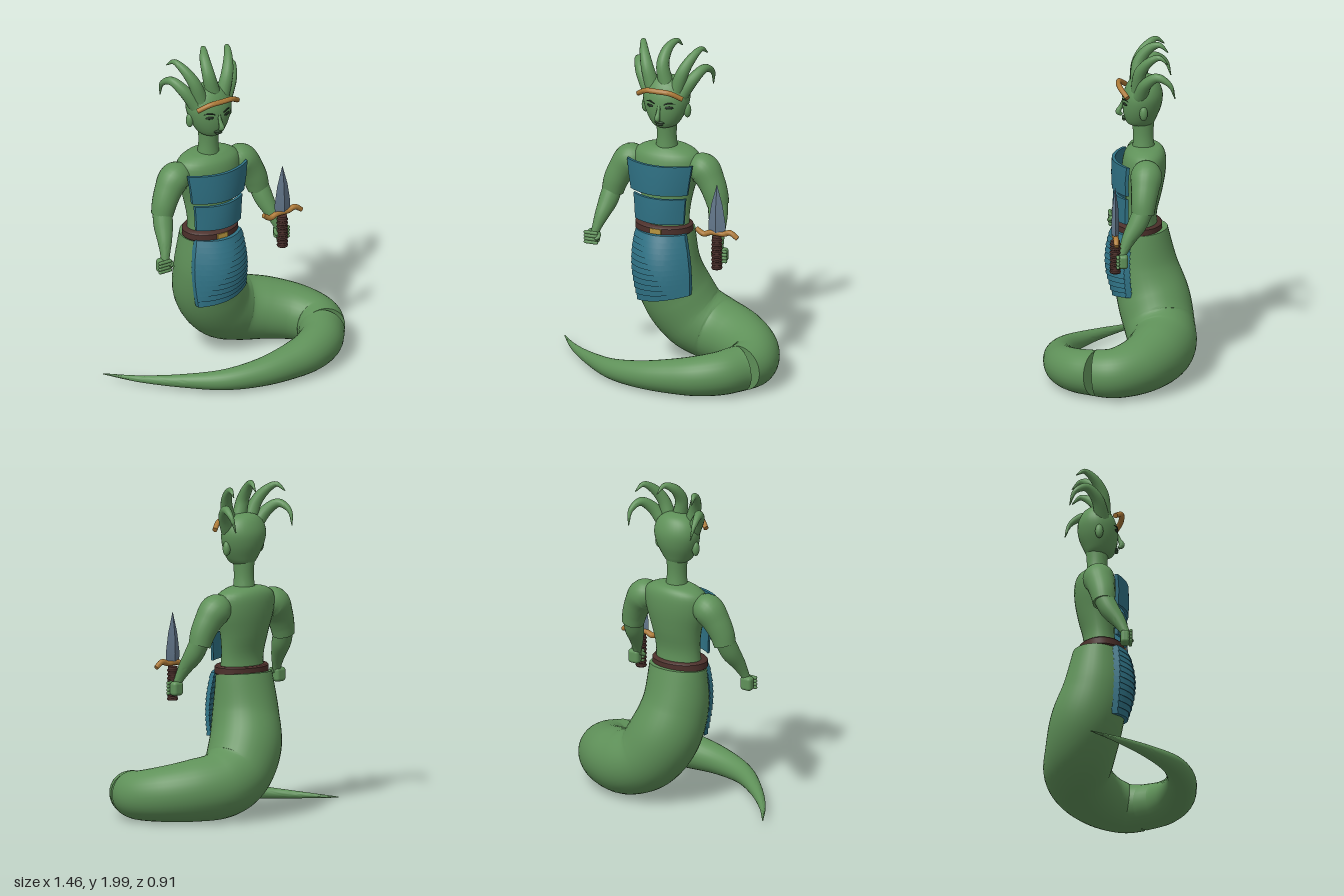
import * as THREE from 'three';
import { toCreasedNormals } from 'three/addons/utils/BufferGeometryUtils.js';
import { RoundedBoxGeometry } from 'three/addons/geometries/RoundedBoxGeometry.js';

const mat = (name, color) => {
  const m = new THREE.MeshStandardMaterial({ color });
  m.name = name;
  return m;
};
const CX = -0.05; // the upper body's own centre line
const V = (x, y, z) => new THREE.Vector3(x, y, z);

// Closed skin through equal-sized rings of points, capped at both ends
function loft(rings, crease = 0.7) {
  const n = rings[0].length, pos = [], idx = [];
  rings.forEach(r => r.forEach(p => pos.push(p.x, p.y, p.z)));
  for (let r = 0; r < rings.length - 1; r++) for (let j = 0; j < n; j++) {
    const a = r * n + j, b = r * n + (j + 1) % n;
    idx.push(a, b, b + n, a, b + n, a + n);
  }
  const e = (rings.length - 1) * n;
  for (let i = 0; i < n / 2 - 1; i++) {
    const q = [i, i + 1, n - 2 - i, i, n - 2 - i, n - 1 - i];
    idx.push(...q.map(k => k + e), q[2], q[1], q[0], q[5], q[4], q[3]);
  }
  // turn the skin outward if its volume is negative
  let vol = 0;
  const at = k => V(pos[3 * k], pos[3 * k + 1], pos[3 * k + 2]);
  for (let i = 0; i < idx.length; i += 3) vol += at(idx[i]).dot(at(idx[i + 1]).cross(at(idx[i + 2])));
  if (vol < 0) idx.reverse();
  const g = new THREE.BufferGeometry();
  g.setAttribute('position', new THREE.Float32BufferAttribute(pos, 3));
  g.setIndex(idx);
  return toCreasedNormals(g, crease);
}

// Tapering tube: points are [x, y, z, radius, optional second radius]
function limb(points, segs = 32, n = 24) {
  const path = new THREE.CatmullRomCurve3(points.map(p => V(p[0], p[1], p[2])));
  const radii = new THREE.CatmullRomCurve3(points.map((p, i) => V(p[3], p[4] ?? p[3], i * 0.1)));
  let normal = V(1, 0, 0);
  if (Math.abs(path.getTangent(0).x) > 0.8) normal = V(0, 1, 0);
  const rings = [];
  for (let i = 0; i <= segs; i++) {
    const t = i / segs, c = path.getPoint(t), tan = path.getTangent(t), r = radii.getPoint(t);
    normal.addScaledVector(tan, -normal.dot(tan)).normalize();
    const bi = tan.clone().cross(normal);
    rings.push(Array.from({ length: n }, (_, j) => {
      const a = j / n * Math.PI * 2;
      return c.clone().addScaledVector(normal, Math.cos(a) * r.x).addScaledVector(bi, Math.sin(a) * r.y);
    }));
  }
  return loft(rings);
}

// Stack of ellipses: rows are [y, half width, back z, front z]
function stack(rows, steps = 24, n = 32) {
  const a = new THREE.CatmullRomCurve3(rows.map(r => V(r[1], r[0], 0)));
  const b = new THREE.CatmullRomCurve3(rows.map(r => V(r[2], r[0], r[3])));
  const rings = [];
  for (let i = 0; i <= steps; i++) {
    const p = a.getPoint(i / steps), q = b.getPoint(i / steps);
    rings.push(Array.from({ length: n }, (_, j) => {
      const t = j / n * Math.PI * 2;
      return V(CX + Math.cos(t) * p.x, p.y, (q.x + q.z) / 2 + Math.sin(t) * (q.z - q.x) / 2);
    }));
  }
  return loft(rings, 0.9);
}

// Bowed armour plate: rows are [y, centre x, half width, front z, side z, slope]
function plate(rows, thick = 0.02) {
  const rings = [];
  for (let i = 0; i <= 20; i++) {
    const u = i / 10 - 1;
    const front = rows.map(([y, cx, w, zf, zs, s]) => V(cx + u * w, y + s * u, zf - (zf - zs) * u * u));
    const back = front.map(p => V(p.x, p.y, p.z - thick)).reverse();
    rings.push([...front, ...back]);
  }
  return loft(rings, 0.5);
}

export function createModel() {
  const root = new THREE.Group();
  const skin = mat('green skin', 0x5f9159), teal = mat('teal armour', 0x2f7184);
  const brown = mat('brown leather', 0x4c302b), copper = mat('copper trim', 0xad7a38);
  const gold = mat('gold buckle', 0xb8953f), steel = mat('blue steel', 0x64788c);
  const dark = mat('dark eyes', 0x1c2c1e), lipMat = mat('dark green lips', 0x3c5a3c);
  const add = (name, geo, m, parent = root) => {
    const mesh = new THREE.Mesh(geo, m);
    mesh.name = name;
    parent.add(mesh);
    return mesh;
  };

  // Serpent body and tail
  add('lowerBody', limb([[-0.055, 0.845, -0.15, 0.178, 0.15], [-0.05, 0.6, -0.17, 0.2, 0.195],
    [-0.005, 0.42, -0.215, 0.215, 0.215], [0.09, 0.28, -0.245, 0.208], [0.22, 0.215, -0.255, 0.198],
    [0.38, 0.19, -0.195, 0.185], [0.52, 0.17, -0.08, 0.165], [0.58, 0.155, 0.05, 0.148],
    [0.552, 0.148, 0.155, 0.138]], 72, 36), skin);
  add('tail', limb([[0.545, 0.146, 0.155, 0.136], [0.47, 0.138, 0.255, 0.13], [0.35, 0.125, 0.32, 0.12],
    [0.2, 0.11, 0.345, 0.104], [0, 0.092, 0.342, 0.083], [-0.21, 0.075, 0.28, 0.062],
    [-0.41, 0.06, 0.135, 0.04], [-0.6, 0.045, -0.055, 0.02], [-0.735, 0.038, -0.235, 0.003]], 64, 28), skin);

  // Torso, neck, head
  add('torso', stack([[0.84, 0.15, -0.24, -0.03], [0.95, 0.147, -0.235, -0.05], [1.08, 0.165, -0.265, -0.05],
    [1.22, 0.205, -0.288, -0.03], [1.31, 0.2, -0.285, -0.045], [1.35, 0.14, -0.262, -0.08],
    [1.362, 0.07, -0.23, -0.1]]), skin);
  add('neck', stack([[1.33, 0.068, -0.225, -0.09], [1.42, 0.058, -0.215, -0.095], [1.54, 0.064, -0.222, -0.085]], 10), skin);
  add('head', stack([[1.485, 0.035, -0.19, -0.09], [1.5, 0.07, -0.215, -0.06], [1.54, 0.1, -0.235, -0.042],
    [1.61, 0.132, -0.262, -0.032], [1.68, 0.144, -0.27, -0.038], [1.74, 0.125, -0.252, -0.062],
    [1.78, 0.08, -0.22, -0.095], [1.797, 0.01, -0.16, -0.145]], 32), skin);

  // Face
  add('nose', limb([[CX, 1.645, -0.04, 0.008], [CX, 1.6, -0.022, 0.012], [CX, 1.568, -0.008, 0.017],
    [CX, 1.55, -0.028, 0.01]], 12, 12), skin);
  for (const [i, y] of [1.534, 1.522].entries()) {
    const lip = add(i ? 'lowerLip' : 'upperLip', new THREE.SphereGeometry(1, 16, 8), lipMat);
    lip.scale.set(0.032 - i * 0.008, 0.007, 0.012);
    lip.position.set(CX, y, -0.041);
  }
  for (const s of [-1, 1]) {
    const side = s < 0 ? 'right' : 'left';
    const eye = add(side + 'Eye', new THREE.SphereGeometry(1, 16, 8), dark);
    eye.scale.set(0.026, 0.009, 0.006);
    eye.position.set(CX + s * 0.06, 1.632, -0.044);
    eye.rotation.y = s * 0.4;
    add(side + 'Brow', limb([[CX + s * 0.03, 1.651, -0.033, 0.003], [CX + s * 0.06, 1.66, -0.044, 0.005],
      [CX + s * 0.092, 1.653, -0.064, 0.002]], 10, 8), dark);
    const ear = add(side + 'Ear', new THREE.SphereGeometry(1, 16, 12), skin);
    ear.scale.set(0.022, 0.044, 0.024);
    ear.position.set(CX + s * 0.134, 1.594, -0.15);
  }

  // Circlet
  add('circlet', limb([[-0.19, 1.695, -0.055, 0.015], [-0.125, 1.733, -0.018, 0.016], [CX, 1.738, -0.01, 0.016],
    [0.025, 1.733, -0.018, 0.016], [0.09, 1.695, -0.055, 0.015]], 28, 12), copper);

  // Head tendrils
  add('middleTendril', limb([[-0.04, 1.75, -0.12, 0.045], [-0.065, 1.87, -0.13, 0.038], [-0.055, 1.953, -0.19, 0.029],
    [-0.025, 1.982, -0.25, 0.016], [-0.01, 1.94, -0.3, 0.003]], 24, 14), skin);
  for (const s of [-1, 1]) {
    const x = d => CX + s * d;
    add('innerTendril', limb([[x(0.075), 1.72, -0.12, 0.044], [x(0.115), 1.84, -0.13, 0.037],
      [x(0.155), 1.92, -0.18, 0.027], [x(0.185), 1.955, -0.24, 0.016], [x(0.205), 1.92, -0.29, 0.003]], 24, 14), skin);
    add('outerTendril', limb([[x(0.1), 1.69, -0.13, 0.044], [x(0.165), 1.79, -0.165, 0.036],
      [x(0.21), 1.84, -0.23, 0.026], [x(0.232), 1.8, -0.3, 0.015], [x(0.225), 1.715, -0.33, 0.003]], 24, 14), skin);
  }

  // Arms and fists
  for (const s of [-1, 1]) {
    const arm = new THREE.Group(), x = d => CX + s * d;
    arm.name = s < 0 ? 'rightArm' : 'leftArm';
    root.add(arm);
    add('upperArm', limb([[x(0.15), 1.255, -0.16, 0.055], [x(0.185), 1.25, -0.16, 0.08], [x(0.235), 1.235, -0.16, 0.094],
      [x(0.285), 1.17, -0.15, 0.082], [x(0.318), 1.1, -0.14, 0.074], [x(0.336), 1.035, -0.135, 0.066]], 28), skin, arm);
    add('forearm', limb([[x(0.335), 1.06, -0.137, 0.058], [x(0.35), 0.98, -0.1, 0.057], [x(0.372), 0.9, -0.05, 0.042],
      [x(0.392), 0.825, -0.015, 0.027], [x(0.4), 0.79, -0.005, 0.025]], 20), skin, arm);
    const palm = add('palm', new RoundedBoxGeometry(0.075, 0.085, 0.055, 3, 0.02), skin, arm);
    palm.position.set(x(0.41), 0.775, -0.015);
    for (let i = 0; i < 4; i++) {
      const finger = add('finger', new THREE.CapsuleGeometry(0.0105, 0.07, 4, 10), skin, arm);
      finger.rotation.z = Math.PI / 2;
      finger.position.set(x(0.412), 0.746 + i * 0.02, 0.018);
    }
    add('thumb', limb([[x(0.375), 0.8, -0.01, 0.013], [x(0.365), 0.785, 0.015, 0.012], [x(0.38), 0.772, 0.032, 0.009]], 8, 10), skin, arm);
  }

  // Belt
  const beltProfile = [[0.95, 0.838], [1, 0.846], [1, 0.884], [0.95, 0.892], [0.7, 0.892]].map(p => new THREE.Vector2(...p));
  const belt = add('belt', toCreasedNormals(new THREE.LatheGeometry(beltProfile, 40), 0.5), brown);
  belt.scale.set(0.176, 1, 0.137);
  belt.position.set(-0.055, 0, -0.13);
  const buckle = add('buckle', new THREE.BoxGeometry(0.072, 0.03, 0.012), gold);
  buckle.position.set(-0.055, 0.868, 0.006);

  // Chest, belly and ridged hip armour
  add('chestPlate', plate([[1.1, -0.053, 0.18, 0.03, -0.04, 0], [1.19, -0.052, 0.193, 0.034, -0.038, 0],
    [1.283, -0.052, 0.206, 0.03, -0.045, 0]]), teal);
  add('bellyPlate', plate([[0.918, -0.05, 0.155, 0.022, -0.04, 0], [1, -0.05, 0.159, 0.026, -0.04, 0],
    [1.075, -0.05, 0.165, 0.022, -0.04, 0]]), teal);
  const hipRows = [], bands = 12;
  for (let i = 0; i < bands; i++) for (const end of [0, 1]) {
    const t = (i + end) / bands; // 0 at the waist, 1 at the lower hem
    const flare = end ? 0.008 : 0, bulge = Math.sin(Math.PI * Math.min(1, 0.12 + t * 0.82));
    hipRows.push([0.85 - t * 0.405 - (end ? 0.003 : 0), -0.046 + 0.022 * t * t, 0.145 + 0.03 * bulge + 0.014 * t + flare * 0.3,
      0.012 + 0.055 * bulge + flare, -0.05 + 0.015 * bulge + flare, 0.034 * t * t]);
  }
  add('hipArmour', plate(hipRows, 0.035), teal);

  // Dagger
  const dagger = new THREE.Group();
  dagger.name = 'dagger';
  dagger.position.set(0.348, 0, 0.032);
  root.add(dagger);
  const grip = add('grip', new THREE.CylinderGeometry(0.028, 0.03, 0.2, 16), brown, dagger);
  grip.position.y = 0.8;
  for (let i = 0; i < 8; i++) {
    const wrap = add('gripWrap', new THREE.TorusGeometry(0.027, 0.007, 6, 18), brown, dagger);
    wrap.rotation.x = Math.PI / 2;
    wrap.position.y = 0.708 + i * 0.024;
  }
  add('guard', limb([[-0.132, 0.935, 0, 0.014], [-0.085, 0.907, 0, 0.017], [-0.04, 0.922, 0, 0.017], [0, 0.925, 0, 0.019],
    [0.04, 0.922, 0, 0.017], [0.085, 0.935, 0, 0.017], [0.132, 0.905, 0, 0.014]], 28, 12), copper, dagger);
  const bladeRows = [[0.93, 0.052, 0.02], [0.98, 0.055, 0.023], [1.1, 0.036, 0.018], [1.225, 0.001, 0.001]];
  add('blade', loft(bladeRows.map(([y, w, d]) => [V(w, y, 0), V(0, y, d), V(-w, y, 0), V(0, y, -d)]), 0.2), steel, dagger);

  return root;
}
